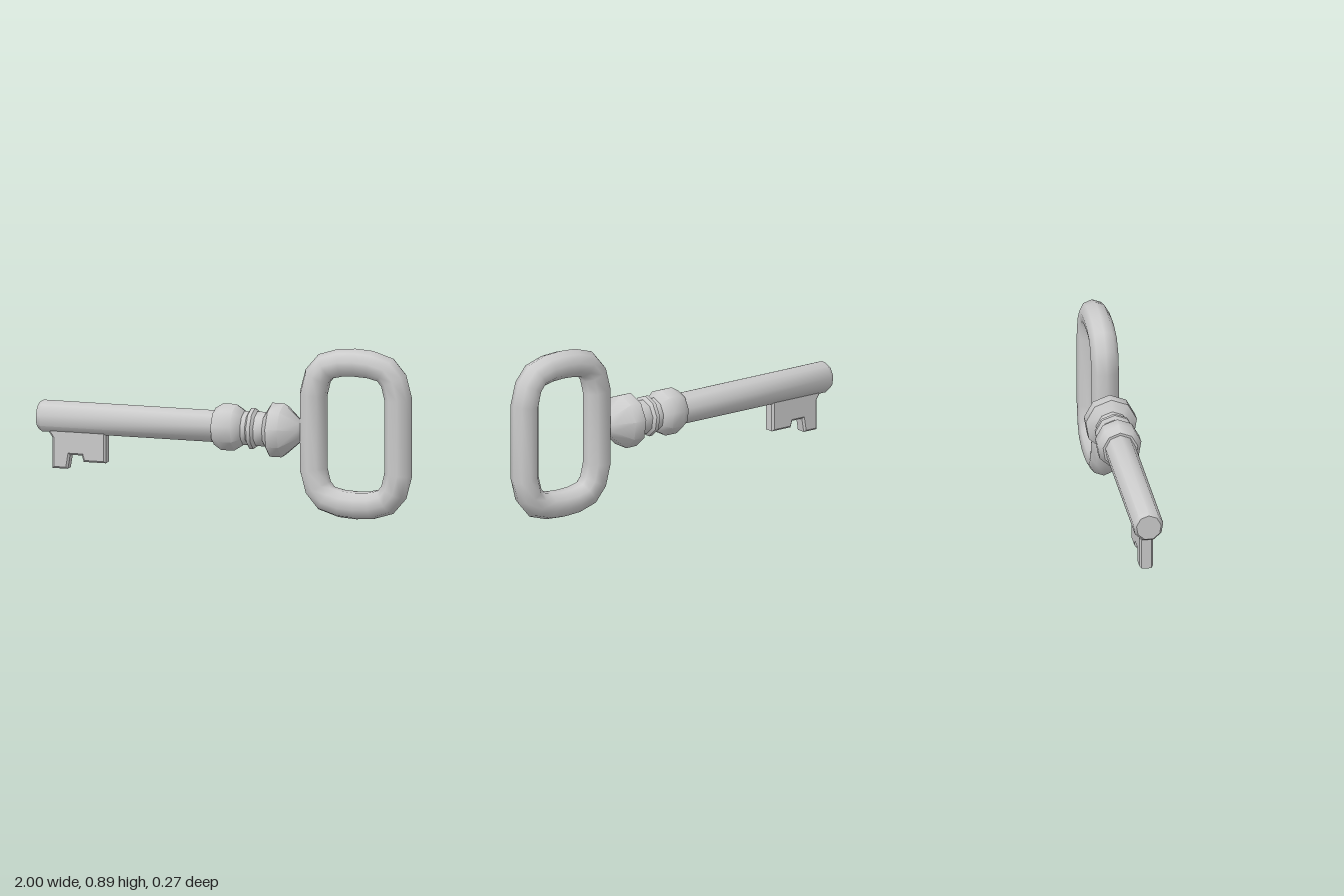
import * as THREE from 'three';
import { toCreasedNormals } from 'three/addons/utils/BufferGeometryUtils.js';

const SIDES = 9;
const material = new THREE.MeshStandardMaterial({ color: 0xcccccc });

function addMesh(group, name, geometry) {
  const mesh = new THREE.Mesh(geometry, material);
  mesh.name = name;
  group.add(mesh);
  return mesh;
}

// Turned part along x; profile pairs are [x, radius]
function turned(profile) {
  const points = profile.map(([x, r]) => new THREE.Vector2(r, x));
  const geo = new THREE.LatheGeometry(points, SIDES, -Math.PI / 2);
  geo.rotateZ(-Math.PI / 2);
  geo.scale(1, 1, 0.955);
  geo.translate(0, 0.442, 0);
  return toCreasedNormals(geo, 0.85);
}

// Closed tube swept along a flat loop of [x, y] points, counter-clockwise
function loopTube(path, radius) {
  const n = path.length, positions = [], index = [];
  path.forEach(([x, y], i) => {
    const a = path[(i + n - 1) % n], b = path[(i + 1) % n];
    const d1 = new THREE.Vector2(x - a[0], y - a[1]).normalize();
    const d2 = new THREE.Vector2(b[0] - x, b[1] - y).normalize();
    const t = d1.add(d2).normalize();
    for (let j = 0; j < SIDES; j++) {
      const angle = (j / SIDES) * Math.PI * 2;
      const out = Math.cos(angle) * radius;
      positions.push(x + t.y * out, y - t.x * out, Math.sin(angle) * radius);
      const k = (j + 1) % SIDES, i2 = (i + 1) % n;
      const p = i * SIDES + j, q = i2 * SIDES + j;
      const r = i2 * SIDES + k, s = i * SIDES + k;
      index.push(p, q, r, p, r, s);
    }
  });
  const geo = new THREE.BufferGeometry();
  geo.setAttribute('position', new THREE.Float32BufferAttribute(positions, 3));
  geo.setIndex(index);
  geo.computeVertexNormals();
  return geo;
}

export function createModel() {
  const key = new THREE.Group();
  key.name = 'key';

  // Round shaft with a bevelled tip
  addMesh(key, 'shaft', turned([
    [-1, 0], [-1, 0.068], [-0.978, 0.083], [-0.04, 0.083],
  ]));

  // Turned collar, thin ring and pointed knob
  addMesh(key, 'collar', turned([
    [-0.055, 0.07], [-0.055, 0.096], [-0.013, 0.122], [0.056, 0.122], [0.098, 0.093],
    [0.1, 0.088], [0.125, 0.088], [0.137, 0.107], [0.157, 0.107], [0.17, 0.09],
    [0.217, 0.09], [0.249, 0.141], [0.313, 0.141], [0.398, 0.062], [0.415, 0.03], [0.418, 0],
  ]));

  // Rounded rectangular bow, mirrored from one quarter
  const quarter = [[0.229, 0.195], [0.205, 0.29], [0.16, 0.345], [0.08, 0.368], [0, 0.373]];
  const upper = [...quarter, ...quarter.slice(0, 4).reverse().map(([x, y]) => [-x, y])];
  const loop = [...upper, ...upper.map(([x, y]) => [-x, -y])];
  const bow = addMesh(key, 'bow', loopTube(loop, 0.073));
  bow.position.set(0.698, 0.446, 0);

  // Notched bit with softened edges
  const outline = [
    [-0.94, 0.42], [-0.94, 0.362], [-0.922, 0.335], [-0.922, 0.176], [-0.84, 0.176],
    [-0.828, 0.25], [-0.765, 0.25], [-0.755, 0.217], [-0.635, 0.217], [-0.635, 0.42],
  ].map(([x, y]) => new THREE.Vector2(x, y));
  const bevel = 0.01, depth = 0.07;
  const bitGeo = new THREE.ExtrudeGeometry(new THREE.Shape(outline), {
    depth: depth - 2 * bevel, bevelEnabled: true, bevelSize: bevel,
    bevelThickness: bevel, bevelOffset: -bevel, bevelSegments: 1,
  });
  bitGeo.translate(0, 0, -depth / 2 + bevel);
  addMesh(key, 'bit', bitGeo);

  return key;
}
